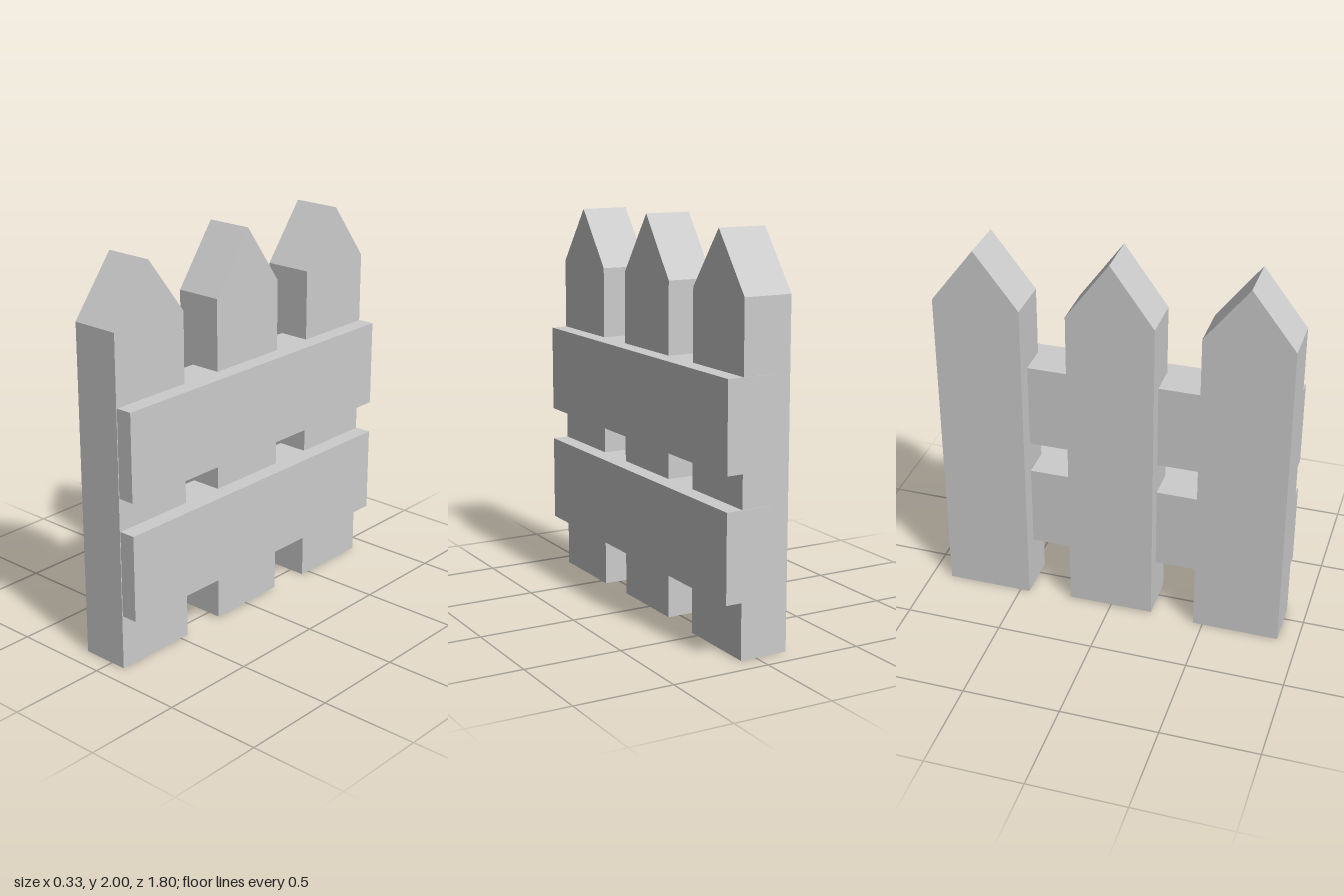
import * as THREE from 'three';

const wood = new THREE.MeshStandardMaterial({ color: 0xcccccc });
wood.name = 'plain grey';

// Pointed board, extruded through the fence's thickness (x)
function picket(name, z, width, bottom, shoulder, tip, xBack, xFront) {
  const w = width / 2;
  const shape = new THREE.Shape([
    new THREE.Vector2(-w, bottom),
    new THREE.Vector2(w, bottom),
    new THREE.Vector2(w, shoulder),
    new THREE.Vector2(0, tip),
    new THREE.Vector2(-w, shoulder),
  ]);
  const geometry = new THREE.ExtrudeGeometry(shape, { depth: xFront - xBack, bevelEnabled: false });
  geometry.rotateY(Math.PI / 2);
  const mesh = new THREE.Mesh(geometry, wood);
  mesh.name = name;
  mesh.position.set(xBack, 0, z);
  return mesh;
}

// Horizontal board running along z, let into the pickets
function rail(name, y0, y1) {
  const x0 = -0.08, x1 = 0.166, z0 = -0.898, z1 = 0.893;
  const mesh = new THREE.Mesh(new THREE.BoxGeometry(x1 - x0, y1 - y0, z1 - z0), wood);
  mesh.name = name;
  mesh.position.set((x0 + x1) / 2, (y0 + y1) / 2, (z0 + z1) / 2);
  return mesh;
}

export function createModel() {
  const fence = new THREE.Group();
  fence.name = 'picketFence';
  fence.add(
    picket('frontPicket', 0.674, 0.446, 0, 1.69, 1.98, -0.168, 0.081),
    picket('middlePicket', 0, 0.442, 0.01, 1.695, 2, -0.16, 0.081),
    picket('backPicket', -0.672, 0.444, 0, 1.69, 1.98, -0.168, 0.081),
    rail('lowerRail', 0.28, 0.72),
    rail('upperRail', 0.888, 1.332),
  );
  return fence;
}
